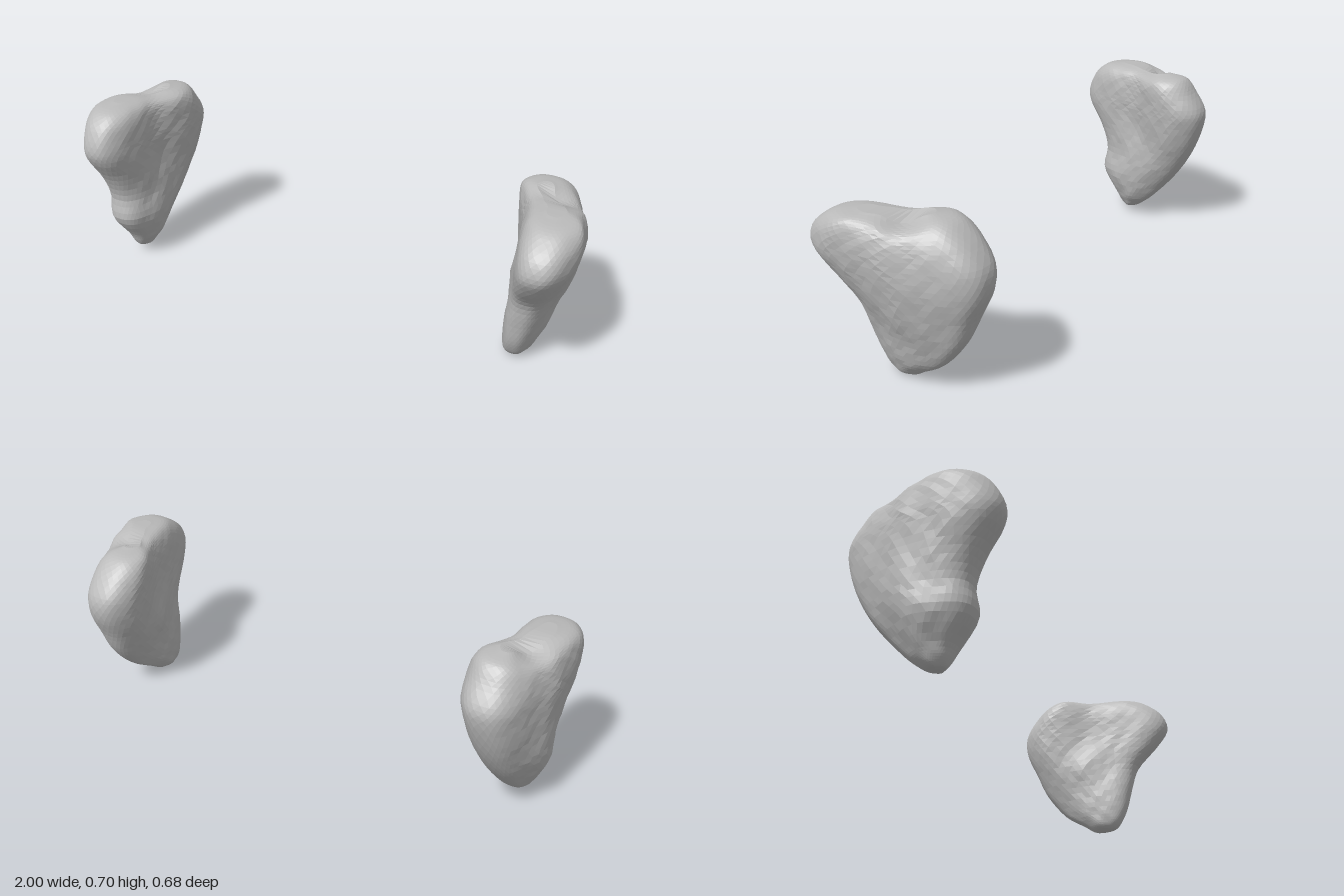
import * as THREE from 'three';

const RING = 44, ROWS = 44;

// Each level: y, back z, front z, | spine x (back, middle, front) | half width (back, middle, front)
const leftLevels = [
  [0.0, -0.01, 0.055, 0.785, 0.785, 0.785, 0.012, 0.015, 0.012],
  [0.012, -0.035, 0.078, 0.787, 0.786, 0.785, 0.036, 0.042, 0.036],
  [0.04, -0.075, 0.1, 0.792, 0.789, 0.787, 0.052, 0.058, 0.052],
  [0.1, -0.165, 0.125, 0.805, 0.80, 0.797, 0.066, 0.074, 0.068],
  [0.2, -0.245, 0.145, 0.803, 0.812, 0.815, 0.085, 0.091, 0.083],
  [0.3, -0.29, 0.17, 0.796, 0.824, 0.84, 0.112, 0.113, 0.095],
  [0.4, -0.333, 0.25, 0.791, 0.84, 0.87, 0.132, 0.124, 0.105],
  [0.48, -0.335, 0.297, 0.788, 0.849, 0.891, 0.14, 0.128, 0.117],
  [0.55, -0.292, 0.28, 0.787, 0.853, 0.897, 0.137, 0.127, 0.12],
  [0.6, -0.24, 0.225, 0.787, 0.853, 0.897, 0.122, 0.114, 0.112],
  [0.625, -0.195, 0.175, 0.788, 0.852, 0.893, 0.092, 0.09, 0.09],
  [0.635, -0.13, 0.105, 0.795, 0.848, 0.885, 0.04, 0.04, 0.042],
];
const rightLevels = [
  [0.026, 0.095, 0.125, 0.87, 0.87, 0.87, 0.01, 0.012, 0.01],
  [0.036, 0.068, 0.14, 0.87, 0.87, 0.87, 0.028, 0.033, 0.028],
  [0.06, 0.035, 0.155, 0.87, 0.87, 0.87, 0.046, 0.052, 0.046],
  [0.1, -0.01, 0.175, 0.866, 0.868, 0.868, 0.06, 0.072, 0.065],
  [0.2, -0.1, 0.24, 0.862, 0.877, 0.874, 0.085, 0.104, 0.095],
  [0.3, -0.17, 0.232, 0.853, 0.877, 0.882, 0.1, 0.106, 0.1],
  [0.4, -0.22, 0.268, 0.842, 0.875, 0.886, 0.118, 0.11, 0.105],
  [0.5, -0.252, 0.33, 0.832, 0.873, 0.89, 0.132, 0.117, 0.115],
  [0.56, -0.25, 0.34, 0.828, 0.872, 0.892, 0.135, 0.12, 0.118],
  [0.63, -0.205, 0.312, 0.825, 0.871, 0.893, 0.129, 0.116, 0.117],
  [0.67, -0.178, 0.275, 0.823, 0.87, 0.894, 0.113, 0.105, 0.108],
  [0.69, -0.15, 0.235, 0.823, 0.87, 0.893, 0.083, 0.08, 0.084],
  [0.7, -0.09, 0.17, 0.828, 0.868, 0.89, 0.038, 0.038, 0.04],
];

// Blend back, middle and front values along the section
function blend(v, t) {
  const s = THREE.MathUtils.smoothstep;
  return t < 0.5 ? v.x + (v.y - v.x) * s(t, 0.12, 0.5) : v.y + (v.z - v.y) * s(t, 0.5, 0.8);
}

const bell = (t, centre, spread) => Math.exp(-(((t - centre) / spread) ** 2));

// Small surface unevenness
const bump = (x, y, z) =>
  0.0025 * Math.sin(31 * y + 17 * z) * Math.sin(37 * z - 11 * x) +
  0.0015 * Math.sin(83 * y + 5) * Math.sin(71 * z + 23 * y);

function lobedGeometry(levels, mirror) {
  const curve = (k) => new THREE.CatmullRomCurve3(
    levels.map((l) => new THREE.Vector3(l[k], l[k + 1], l[k + 2])), false, 'catmullrom', 0.5);
  const [size, spine, width] = [curve(0), curve(3), curve(6)];
  const pos = [], index = [];
  const face = (a, b, c) => (mirror < 0 ? index.push(a, c, b) : index.push(a, b, c));

  for (let r = 0; r <= ROWS; r++) {
    const u = r / ROWS;
    const s = size.getPoint(u), c = spine.getPoint(u), w = width.getPoint(u);
    const upper = THREE.MathUtils.smoothstep(s.x, 0.25, 0.5);
    const crown = THREE.MathUtils.smoothstep(u, 0.6, 1);
    for (let i = 0; i < RING; i++) {
      const a = ((i + (r % 2) * 0.5) / RING) * Math.PI * 2;
      const t = (1 - Math.cos(a)) / 2, sn = Math.sin(a);
      const z = s.y + (s.z - s.y) * t;
      // grooves between the two lobes: inner side further forward, outer side further back
      const groove = upper * (sn < 0 ? 0.24 * bell(t, 0.56, 0.13) : 0.08 * bell(t, 0.32, 0.1));
      const half = blend(w, t) * Math.abs(sn) ** 0.75 * (1 - groove);
      const x = blend(c, t) + Math.sign(sn) * (half + bump(c.y, s.x, z) * Math.abs(sn));
      // saddle across the top, sloping down on the outer side of the back lobe
      const dip = crown * (0.01 * bell(t, 0.42, 0.2) + 0.028 * Math.max(sn, 0) * bell(t, 0.28, 0.18));
      pos.push(mirror * x, s.x - dip, z);
    }
  }
  // side faces
  for (let r = 0; r < ROWS; r++) for (let i = 0; i < RING; i++) {
    const j = (i + 1) % RING, p = r * RING, q = p + RING;
    if (r % 2) { face(p + i, q + i, q + j); face(p + i, q + j, p + j); }
    else { face(p + i, q + i, p + j); face(p + j, q + i, q + j); }
  }
  // bottom cap as a fan, top cap strip by strip across the section
  for (let i = 1; i < RING - 1; i++) face(0, i, i + 1);
  const top = ROWS * RING;
  for (let i = 0; i < RING / 2; i++) {
    const a = top + i, b = a + 1, d = top + ((RING - i) % RING), e = top + RING - i - 1;
    if (a !== d) face(a, d, b);
    if (b !== e) face(b, d, e);
  }
  const geo = new THREE.BufferGeometry();
  geo.setAttribute('position', new THREE.Float32BufferAttribute(pos, 3));
  geo.setIndex(index);
  const flat = geo.toNonIndexed();
  flat.computeVertexNormals();
  return flat;
}

export function createModel() {
  const group = new THREE.Group();
  const stoneGrey = new THREE.MeshStandardMaterial({ color: 0xbababa });
  stoneGrey.name = 'stoneGrey';
  for (const [name, levels, side] of [['leftLobedBody', leftLevels, 1], ['rightLobedBody', rightLevels, -1]]) {
    const mesh = new THREE.Mesh(lobedGeometry(levels, side), stoneGrey);
    mesh.name = name;
    group.add(mesh);
  }
  return group;
}
